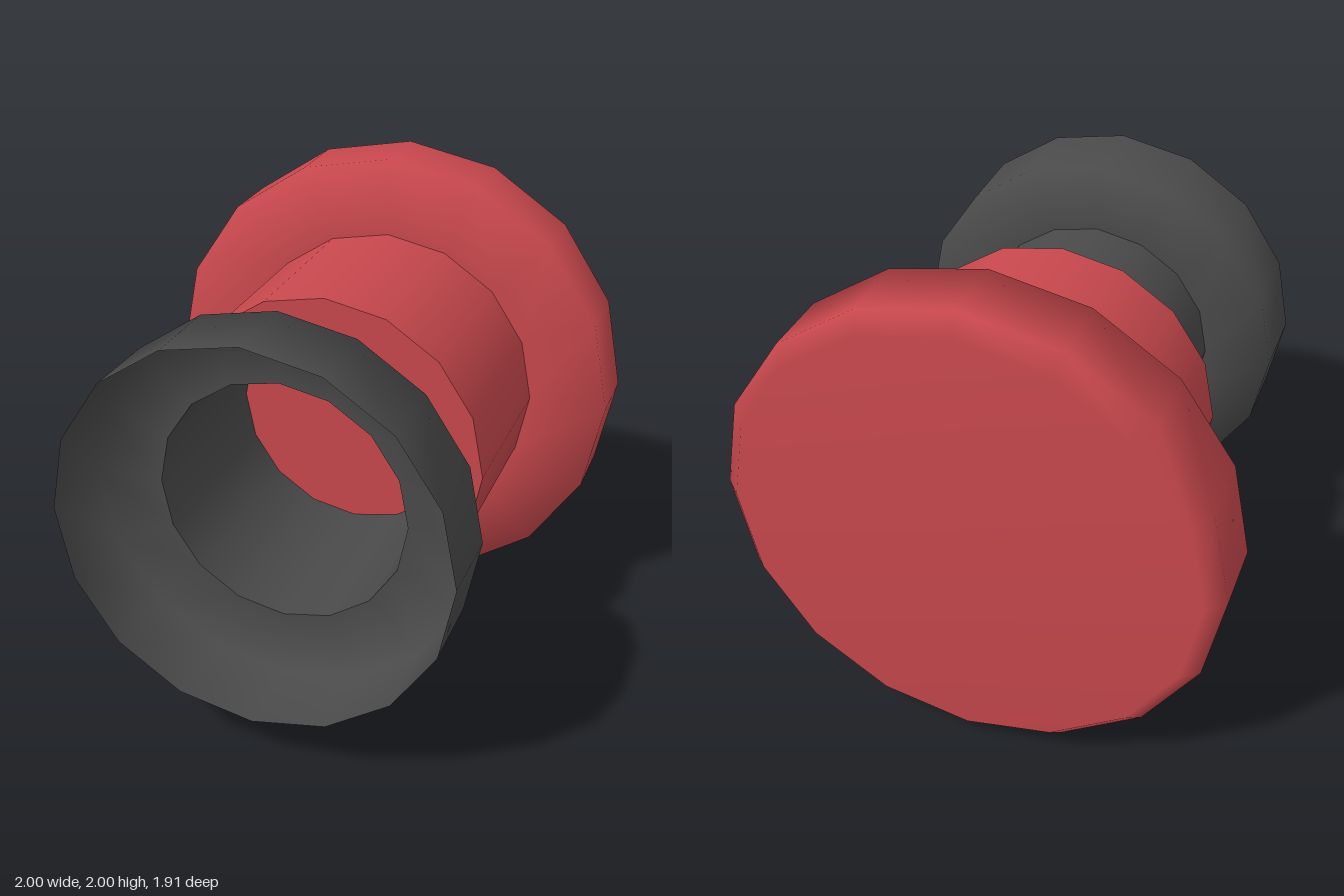
import * as THREE from 'three';

const SIDES = 16;

// Turns a profile of [radius, z] points, listed from back to front, around the z axis.
function turned(name, profile, material) {
  const points = profile.map(([r, z]) => new THREE.Vector2(r, z));
  const geometry = new THREE.LatheGeometry(points, SIDES);
  geometry.rotateX(Math.PI / 2);
  const mesh = new THREE.Mesh(geometry, material);
  mesh.name = name;
  mesh.position.y = 1;
  return mesh;
}

export function createModel() {
  const red = new THREE.MeshStandardMaterial({ color: 0xc8484d });
  const dark = new THREE.MeshStandardMaterial({ color: 0x4a4a4a, side: THREE.DoubleSide });

  const group = new THREE.Group();
  group.name = 'pushButton';

  // Wide button head with a bevelled back rim
  group.add(turned('buttonHead', [[0, -0.955], [0.93, -0.955], [1, -0.885], [1, -0.6], [0.66, -0.6]], red));

  // Thick sleeve with a front shoulder around the neck
  group.add(turned('sleeve', [[0.667, -0.6], [0.667, 0.16]], red));
  group.add(turned('sleeveShoulder', [[0.667, 0.16], [0.51, 0.16]], red));

  // Hollow neck running into the sleeve, closed by a flat red plug
  group.add(turned('neck', [[0.51, -0.2], [0.51, 0.62]], dark));
  group.add(turned('plug', [[0.51, -0.2], [0, -0.2]], red));

  // Open thin-walled cup at the front
  group.add(turned('cup', [[0.51, 0.62], [0.797, 0.62], [0.797, 0.955]], dark));

  return group;
}
